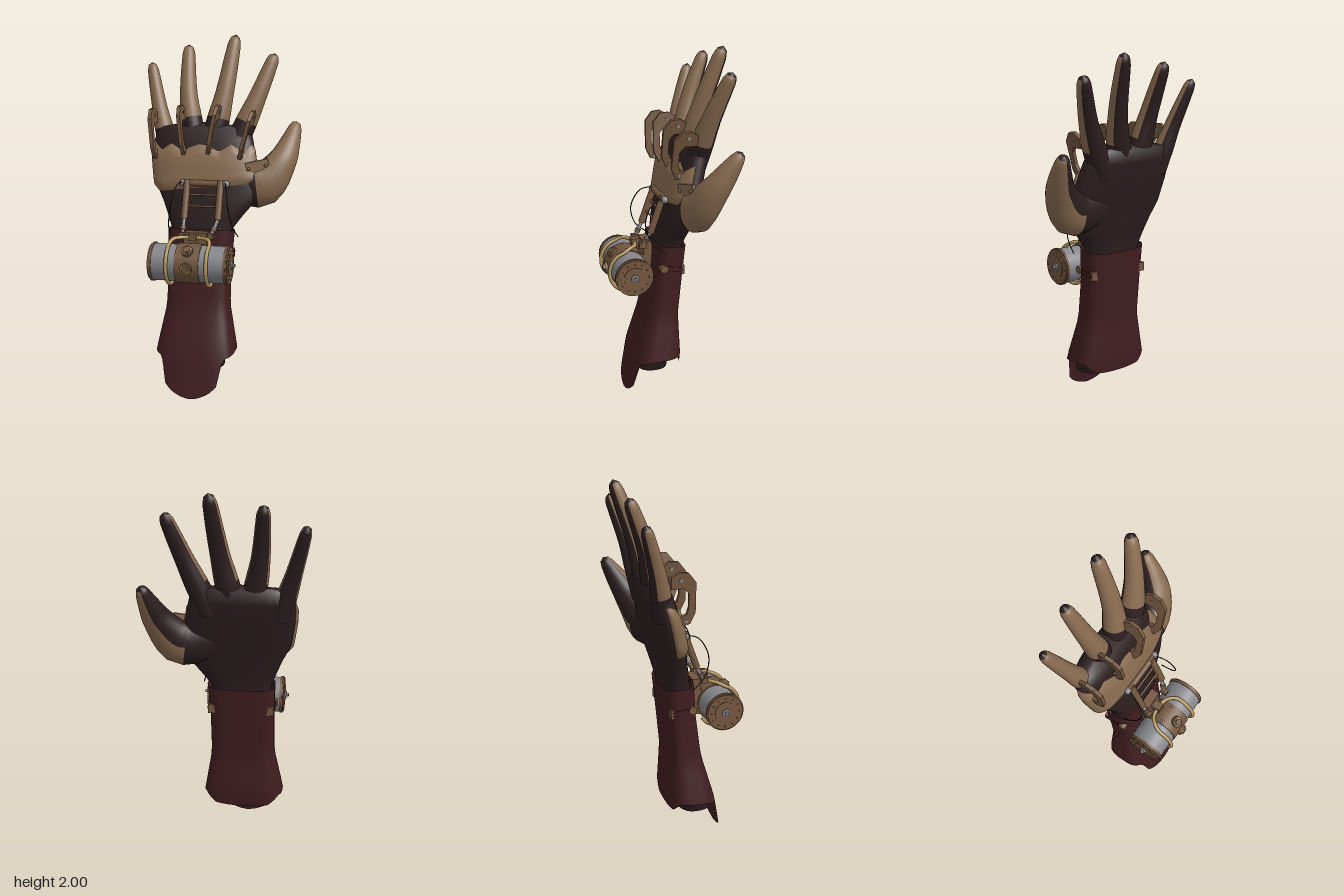
import * as THREE from 'three';
import { mergeVertices } from 'three/addons/utils/BufferGeometryUtils.js';

const mat = (name, color, side = THREE.FrontSide) => {
  const m = new THREE.MeshStandardMaterial({ color, side });
  m.name = name;
  return m;
};
const V = (x, y, z) => new THREE.Vector3(x, y, z);
const rad = THREE.MathUtils.degToRad;

// Surface from a rule: u runs around, v runs upward; pick(i, j) chooses the material slot
function grid(nu, nv, fn, pick = () => 0) {
  const pos = [], faces = [[], []];
  for (let j = 0; j <= nv; j++)
    for (let i = 0; i <= nu; i++) pos.push(...fn(i / nu, j / nv, i, j).toArray());
  for (let j = 0; j < nv; j++)
    for (let i = 0; i < nu; i++) {
      const a = j * (nu + 1) + i, c = a + nu + 1;
      faces[pick(i, j)].push(a, c, a + 1, a + 1, c, c + 1);
    }
  const g = new THREE.BufferGeometry();
  g.setAttribute('position', new THREE.Float32BufferAttribute(pos, 3));
  g.setIndex([...faces[0], ...faces[1]]);
  g.addGroup(0, faces[0].length, 0);
  g.addGroup(faces[0].length, faces[1].length, 1);
  const merged = mergeVertices(g);
  merged.computeVertexNormals();
  return merged;
}

// Linear interpolation in rows whose first entry is the key
function at(rows, k) {
  let i = 0;
  while (i < rows.length - 2 && k > rows[i + 1][0]) i++;
  const a = rows[i], b = rows[i + 1];
  const t = THREE.MathUtils.clamp((k - a[0]) / (b[0] - a[0]), 0, 1);
  return a.map((p, n) => p + (b[n] - p) * t);
}
const spow = (c, p) => Math.sign(c) * Math.abs(c) ** p;
// Point on a horizontal rounded section [y, cx, cz, rx, rz]
const oval = ([y, cx, cz, rx, rz], a, p, off = 0) =>
  V(cx + (rx + off) * spow(Math.cos(a), p), y, cz + (rz + off) * spow(Math.sin(a), p));
const around = (u) => -Math.PI / 2 + u * Math.PI * 2;

export function createModel() {
  const root = new THREE.Group();
  root.name = 'mechanicalGauntlet';
  const leather = mat('tan leather', 0x876a4f, THREE.DoubleSide);
  const glove = mat('dark glove', 0x2c1e1f);
  const maroon = mat('maroon leather', 0x401d20, THREE.DoubleSide);
  const steel = mat('steel', 0x85868a);
  const copper = mat('copper', 0x73563e);
  const brass = mat('brass', 0xb5975f);
  const black = mat('black cable', 0x1b1818);

  const add = (name, geo, m, parent = root) => {
    const mesh = new THREE.Mesh(geo, m);
    mesh.name = name;
    parent.add(mesh);
    return mesh;
  };
  const box = (name, m, x, y, z, w, h, d) => {
    const b = add(name, new THREE.BoxGeometry(w, h, d), m);
    b.position.set(x, y, z);
    return b;
  };
  const ball = (name, m, p, r) => add(name, new THREE.SphereGeometry(r, 12, 8), m).position.copy(p);
  const rod = (name, m, a, b, r, r2 = r, n = 16) => {
    const c = add(name, new THREE.CylinderGeometry(r2, r, a.distanceTo(b), n), m);
    c.position.lerpVectors(a, b, 0.5);
    c.quaternion.setFromUnitVectors(V(0, 1, 0), b.clone().sub(a).normalize());
    return c;
  };
  const tube = (name, m, pts, r, n = 48) =>
    add(name, new THREE.TubeGeometry(new THREE.CatmullRomCurve3(pts), n, r, 8), m);

  // Forearm and palm
  const hand = [
    [0.17, -0.08, 0.07, 0, 0], [0.17, -0.08, 0.07, 0.16, 0.097], [0.5, -0.08, 0.01, 0.15, 0.078],
    [0.92, -0.075, -0.035, 0.168, 0.078], [1.0, -0.06, -0.05, 0.212, 0.08], [1.07, -0.045, -0.065, 0.255, 0.082],
    [1.17, -0.045, -0.085, 0.305, 0.082], [1.3, -0.075, -0.115, 0.295, 0.084],
    [1.42, -0.09, -0.148, 0.285, 0.078], [1.49, -0.09, -0.162, 0.26, 0.066], [1.515, -0.09, -0.168, 0, 0],
  ];
  add('gloveHand', grid(32, hand.length - 1, (u, v, i, j) => oval(hand[j], around(u), 0.75)), glove);

  // Zigzag leather plate over the back of the hand
  add('handPlate', grid(64, 8, (u, v, i, j) => {
    const a = rad(8 + 176 * u);
    const x = Math.cos(a);
    const top = 1.36 + 0.08 * Math.abs(((x + 1) * 2) % 1 - 0.5) + 0.05 * Math.max(0, -x - 0.7);
    const y = THREE.MathUtils.lerp(1.165 + 0.035 * x, top, v);
    const edge = j === 0 || j === 8 || i === 0 || i === 64;
    return oval(at(hand, y), a, 0.75, edge ? 0 : 0.014);
  }), leather);

  // Digits: leather spread around one angle, dark glove inside and at the tip; radii rows are [v, side, front]
  function digit(name, pts, radii, centre, spread, start) {
    const curve = new THREE.CatmullRomCurve3(pts);
    const nu = 24, nv = 20;
    const geo = grid(nu, nv, (u, k) => {
      const v = k * (1.5 - 0.5 * k);
      const t = curve.getTangent(v), a = around(u), c = curve.getPoint(v);
      const s = t.clone().cross(V(0, 0, 1)).normalize(), f = s.clone().cross(t);
      const [, rs, rf] = at(radii, v);
      return c.addScaledVector(s, rs * Math.cos(a)).addScaledVector(f, rf * Math.sin(a));
    }, (i, j) => {
      const deg = -90 + (i + 0.5) * 360 / nu;
      const gap = Math.abs((deg - centre + 540) % 360 - 180);
      return gap < spread && j >= start && j < nv - 1 ? 0 : 1;
    });
    add(name, geo, [leather, glove]);
  }
  const fingers = [
    ['littleFinger', V(-0.29, 1.34, -0.145), V(-0.36, 1.58, -0.195), V(-0.43, 1.845, -0.275), 0.84],
    ['ringFinger', V(-0.14, 1.38, -0.145), V(-0.19, 1.66, -0.2), V(-0.214, 1.945, -0.3), 0.95],
    ['middleFinger', V(-0.045, 1.38, -0.145), V(0.015, 1.66, -0.2), V(0.06, 2, -0.312), 1],
    ['indexFinger', V(0.08, 1.36, -0.145), V(0.2, 1.64, -0.2), V(0.292, 1.895, -0.28), 0.97],
  ];
  const taper = [[0, 0.07], [0.3, 0.064], [0.5, 0.053], [0.8, 0.043], [0.93, 0.037], [0.975, 0.026], [1, 0.001]];
  for (const [name, a, b, c, s] of fingers)
    digit(name, [a, b, c], taper.map(([t, r]) => [t, r * s, r * s]), 90, 125, 4);
  digit('thumb',
    [V(0.06, 1.19, -0.1), V(0.245, 1.175, -0.115), V(0.35, 1.295, -0.165), V(0.393, 1.41, -0.23), V(0.418, 1.515, -0.293)],
    [[0, 0.1, 0.07], [0.25, 0.13, 0.088], [0.5, 0.085, 0.08], [0.75, 0.056, 0.058], [0.92, 0.038, 0.038],
      [0.975, 0.026, 0.026], [1, 0.001, 0.001]], 30, 125, 3);

  // Forearm cuff with a long front tongue
  const cuff = [
    [0, -0.085, 0.08, 0.215, 0.14], [0.25, -0.085, 0.04, 0.225, 0.135],
    [0.5, -0.082, 0.008, 0.178, 0.093], [0.75, -0.08, -0.02, 0.178, 0.088], [0.94, -0.075, -0.035, 0.188, 0.09],
  ];
  const hem = [[0, 0.005], [9, 0.025], [18, 0.045], [30, 0.08], [35, 0.15], [38, 0.2], [45, 0.23],
    [90, 0.25], [120, 0.255], [150, 0.2], [180, 0.19]];
  add('forearmCuff', grid(120, 12, (u, v) => {
    const a = around(u);
    const low = at(hem, Math.abs(90 - THREE.MathUtils.radToDeg(a)))[1];
    return oval(at(cuff, THREE.MathUtils.lerp(low, 0.925 + 0.015 * Math.sin(a), v)), a, 0.58);
  }), maroon);

  // Knuckle brackets
  const outline = [[-0.13, 0.12], [-0.09, 0.145], [-0.04, 0.14], [0, 0.09], [0.002, -0.07], [-0.025, -0.13],
    [-0.07, -0.14], [-0.075, -0.09], [-0.045, -0.08], [-0.034, -0.04], [-0.036, 0.03], [-0.06, 0.06], [-0.13, 0.06]];
  const bracketGeo = new THREE.ExtrudeGeometry(
    new THREE.Shape(outline.map((p) => new THREE.Vector2(...p))), { depth: 0.02, bevelEnabled: false });
  bracketGeo.translate(0, 0, -0.01).rotateY(-Math.PI / 2);
  for (const [x, y, tilt] of [[-0.358, 1.45, 5], [-0.192, 1.47, 6], [-0.015, 1.475, -11], [0.172, 1.45, -15]]) {
    const bracket = add('knuckleBracket', bracketGeo, copper);
    bracket.position.set(x, y, 0);
    bracket.rotation.z = rad(tilt);
    for (const [py, pz] of [[0.105, -0.08], [-0.115, -0.045]]) {
      const p = V(0, py, pz).applyEuler(bracket.rotation).add(bracket.position);
      rod('bracketPin', steel, p.clone().add(V(-0.014, 0, 0)), p.clone().add(V(0.014, 0, 0)), 0.009);
    }
  }
  // Thumb hinge
  const hinge = box('thumbHinge', leather, 0.235, 1.28, -0.062, 0.13, 0.07, 0.02);
  hinge.rotation.set(0, 0.35, 0.2);
  for (const dx of [-0.045, 0.045]) ball('hingeRivet', copper, V(0.235 + dx, 1.28 + dx * 0.2, -0.052 - dx * 0.35), 0.01);

  // Pressure tank
  const X = -0.078, Y = 0.78, Z = 0.2;
  const disc = (name, m, x0, x1, r, r2 = r, n = 40) => rod(name, m, V(x0, Y, Z), V(x1, Y, Z), r, r2, n);
  disc('tankBody', steel, -0.28, 0.125, 0.101);
  disc('tankBand', copper, -0.145, -0.012, 0.108);
  for (const s of [-1, 1]) {
    const e = (d) => X + s * d;
    disc('tankEndCap', copper, e(0.198), e(0.212), 0.107);
    disc('endCapRing', copper, e(0.21), e(0.219), 0.1);
    disc('endCapCentre', copper, e(0.215), e(0.223), 0.06);
    disc('axleHub', steel, e(0.22), e(0.232), 0.022);
    disc('axleTip', steel, e(0.23), e(0.245), 0.01);
    for (let k = 0; k < 12; k++) {
      const a = k * Math.PI / 6;
      ball('capRivet', copper, V(e(0.217), Y + 0.08 * Math.sin(a), Z + 0.08 * Math.cos(a)), 0.005);
    }
  }
  // Valves on the band
  const onTank = (x, deg, r) => V(x, Y + r * Math.sin(rad(deg)), Z + r * Math.cos(rad(deg)));
  for (const deg of [-3, 48]) {
    rod('valveBase', copper, onTank(X, deg, 0.1), onTank(X, deg, 0.12), 0.032);
    rod('valveStem', brass, onTank(X, deg, 0.12), onTank(X, deg, 0.124), 0.024);
    rod('valveCap', copper, onTank(X, deg, 0.12), onTank(X, deg, 0.132), 0.019);
  }
  for (const dx of [-0.05, 0.05]) ball('bandRivet', steel, onTank(X + dx, 88, 0.107), 0.007);
  // Brass pipes curving round the tank
  for (const s of [-1, 1]) {
    const pts = [-150, -120, -85, -50, -15, 20, 50, 75].map((d) => onTank(X + s * 0.11, d, 0.116));
    pts.push(onTank(X + s * 0.098, 92, 0.13), onTank(X + s * 0.06, 107, 0.138), onTank(X, 112, 0.14));
    tube('brassPipe', brass, pts, 0.0105);
  }
  box('pipeJunction', copper, X, 0.915, 0.143, 0.045, 0.04, 0.05);
  box('tankMount', copper, X, 0.89, 0.085, 0.13, 0.08, 0.05);
  box('tankSaddle', copper, X, 0.79, 0.09, 0.12, 0.14, 0.06);

  // Lifting frame between tank and hand
  const topY = 1.19, topZ = 0.012;
  rod('crossbar', copper, V(-0.165, topY, topZ), V(0.07, topY, topZ), 0.018);
  for (const x of [-0.172, 0.076]) ball('crossbarBall', steel, V(x, topY, topZ), 0.02);
  for (const s of [-1, 1]) {
    const x = -0.05 + s * 0.095, foot = V(-0.065 + s * 0.08, 0.92, 0.125);
    const mid = V(x, 1, 0.085);
    rod('frameTube', copper, mid, V(x, topY + 0.015, topZ), 0.019);
    rod('framePiston', steel, foot, mid, 0.01);
    rod('pistonCollar', copper, foot.clone().lerp(mid, 0.3), foot.clone().lerp(mid, 0.55), 0.016);
    box('pistonFoot', copper, foot.x, foot.y, foot.z, 0.03, 0.03, 0.04);
    // Control cable
    const cx = -0.05 + s * 0.12;
    tube('cable', black, [V(cx, 1.2, 0.015), V(cx + s * 0.02, 1.18, 0.08), V(cx + s * 0.04, 1.08, 0.13),
      V(cx + s * 0.06, 0.97, 0.1), V(cx + s * 0.075, 0.9, 0.02)], 0.003);
    // Cuff clasp
    const side = X + s * 0.178;
    rod('claspDisc', copper, V(side - s * 0.02, 0.8, 0.025), V(side + s * 0.015, 0.8, 0.025), 0.022);
    const strap = box('claspStrap', maroon, side + s * 0.002, 0.795, -0.03, 0.012, 0.025, 0.11);
    strap.rotation.x = -0.15;
    box('claspBuckle', copper, side - s * 0.015, 0.785, -0.085, 0.04, 0.05, 0.02);
  }
  for (const [y, z] of [[1.13, 0.035], [1.07, 0.06]])
    rod('frameRung', copper, V(-0.145, y, z), V(0.045, y, z), 0.006);

  return root;
}
